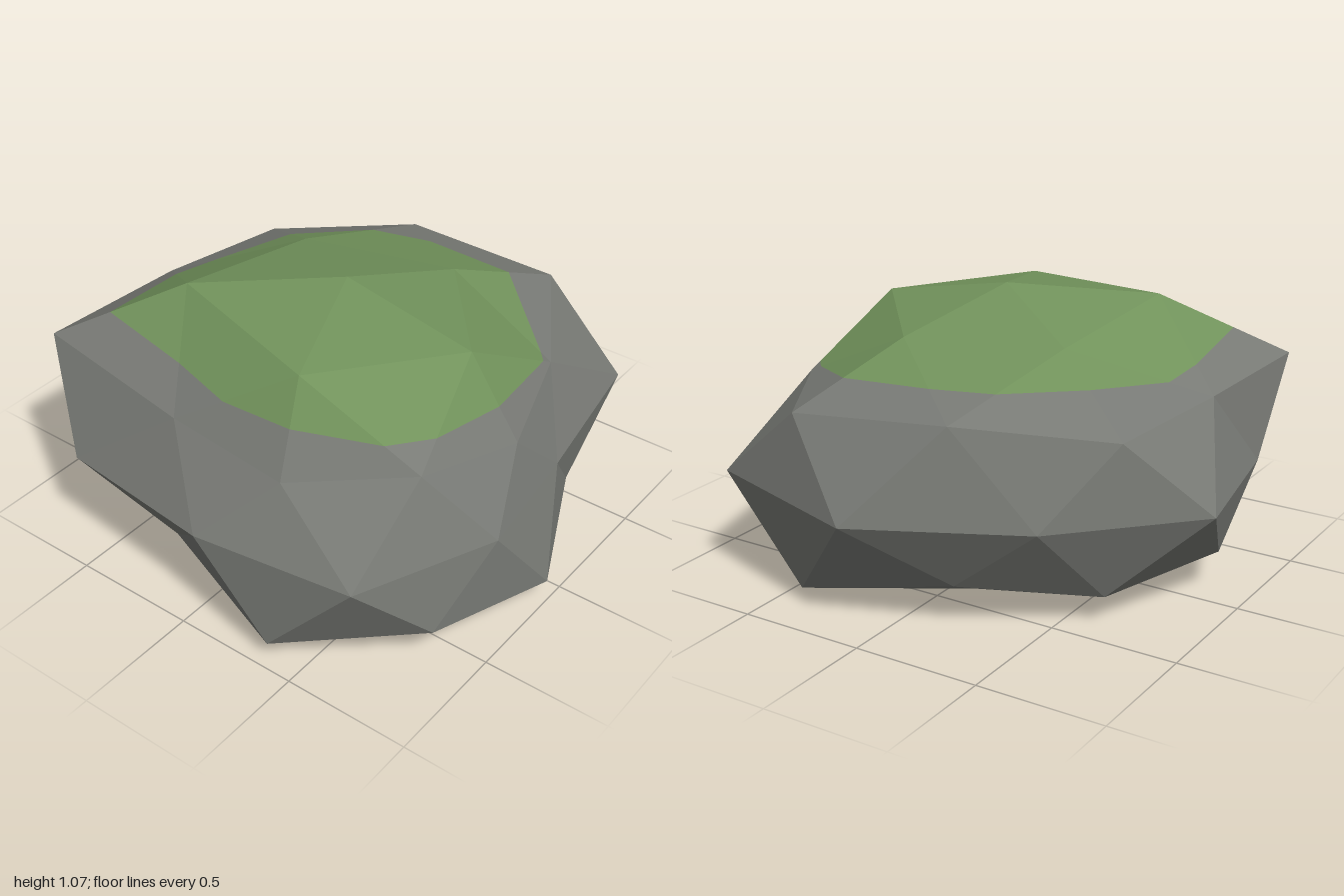
import * as THREE from 'three';

const CENTRE = new THREE.Vector3(0.07, 0.44, 0.1);
const SCALE = new THREE.Vector3(1.08, 0.64, 1);

// Ring of a subdivided icosahedron: one radius factor per vertex; odd/even vertices may sit at different latitudes.
function ring(factors, start, latitudes) {
  const step = (Math.PI * 2) / factors.length;
  return factors.map((f, i) => {
    const s = latitudes[i % latitudes.length];
    const c = Math.sqrt(1 - s * s);
    const a = THREE.MathUtils.degToRad(start) + i * step;
    const p = new THREE.Vector3(Math.cos(a) * c, s, Math.sin(a) * c)
      .multiplyScalar(f).multiply(SCALE).add(CENTRE);
    p.y = Math.max(0, p.y); // flat underside
    return { p, moss: -1 };
  });
}

// Flat-shaded mesh from a list of triangles
function facetMesh(name, triangles, material) {
  const points = triangles.flat().map((v) => v.p);
  const geometry = new THREE.BufferGeometry().setFromPoints(points);
  geometry.computeVertexNormals();
  const mesh = new THREE.Mesh(geometry, material);
  mesh.name = name;
  return mesh;
}

// Part of a triangle where sign * moss is positive, as a fan of triangles
function clip(tri, sign) {
  const poly = [];
  tri.forEach((a, i) => {
    const b = tri[(i + 1) % 3];
    if (a.moss * sign >= 0) poly.push(a);
    if (a.moss * b.moss < 0) {
      const t = a.moss / (a.moss - b.moss);
      poly.push({ p: a.p.clone().lerp(b.p, t), moss: 0 });
    }
  });
  const fan = [];
  for (let i = 1; i < poly.length - 1; i++) fan.push([poly[0], poly[i], poly[i + 1]]);
  return fan;
}

export function createModel() {
  const stone = new THREE.MeshStandardMaterial({ color: 0x787a75 });
  stone.name = 'grey stone';
  const green = new THREE.MeshStandardMaterial({ color: 0x71925b });
  green.name = 'moss green';

  // Rings from the summit down to the base
  const top = ring([0.985], 0, [1])[0];
  const crown = ring([0.969, 1, 1.067, 0.93, 0.92], 0, [0.8507]);
  const upper = ring([0.787, 0.877, 0.82, 0.86, 1.18, 0.97, 1.04, 1.06, 1.085, 0.85], 0, [0.4472, 0.5257]);
  const waist = ring([0.84, 0.99, 0.89, 1.014, 0.93, 1.04, 0.976, 1.1, 1.088, 0.777], 18, [0]);
  const lower = ring([1.012, 1, 1.07, 0.84, 0.86, 0.973, 0.97, 0.94, 1.13, 0.913], 0, [-0.5257, -0.4472]);
  const base = ring([1.046, 1, 0.93, 0.94, 0.97], 36, [-0.8507]);
  const bottom = ring([1], 0, [-1])[0];

  // How far the moss creeps from the crown towards each upper vertex
  const reach = [0.6, 0.7, 0.5, 0.6, 0.57, 0.7, 0.45, 0.6, 0.55, 0.9];
  [top, ...crown].forEach((v) => { v.moss = 1; });
  upper.forEach((v, i) => { v.moss = -(1 - reach[i]) / reach[i]; });

  // Stitch the rings
  const faces = [];
  for (let k = 0; k < 5; k++) {
    const n = (k + 1) % 5;
    const j = 2 * k;
    const prev = (j + 9) % 10;
    const next = (j + 2) % 10;
    faces.push(
      [top, crown[k], crown[n]],
      [crown[k], crown[n], upper[j + 1]],
      [crown[k], upper[prev], upper[j]],
      [crown[k], upper[j], upper[j + 1]],
      [bottom, base[k], base[n]],
      [base[k], base[n], lower[next]],
      [base[k], lower[j], lower[j + 1]],
      [base[k], lower[j + 1], lower[next]],
    );
  }
  for (let j = 0; j < 10; j++) {
    const n = (j + 1) % 10;
    for (const r of [upper, lower]) {
      faces.push([r[j], r[n], waist[j]], [waist[j], waist[n], r[n]]);
    }
  }

  // Turn every facet outwards
  const plane = new THREE.Plane();
  for (const f of faces) {
    plane.setFromCoplanarPoints(f[0].p, f[1].p, f[2].p);
    if (plane.distanceToPoint(CENTRE) > 0) f.reverse();
  }

  const group = new THREE.Group();
  group.name = 'mossyBoulder';
  group.add(
    facetMesh('boulder', faces.flatMap((f) => clip(f, -1)), stone),
    facetMesh('mossCap', faces.flatMap((f) => clip(f, 1)), green),
  );
  return group;
}
